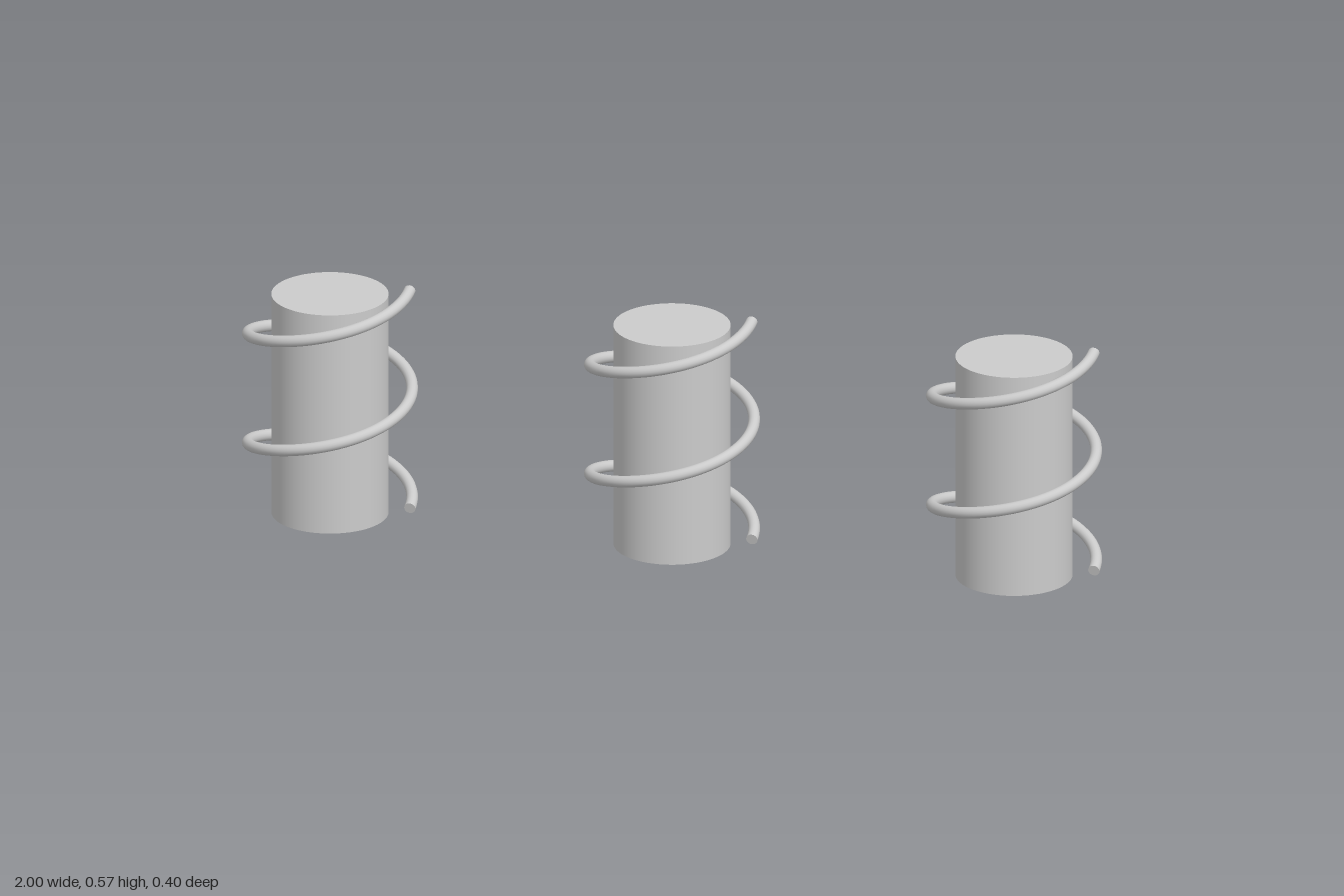
import * as THREE from 'three';

const CORE_RADIUS = 0.1333, CORE_HEIGHT = 0.5333;
const COIL_RADIUS = 0.1867, WIRE_RADIUS = 0.0133;
const COIL_START = 0.0267, PITCH = 0.2667, TURNS = 2;
const SPACING = 0.8;

// Helix rising from the +x side and turning towards the back first
class Helix extends THREE.Curve {
  getPoint(t, target = new THREE.Vector3()) {
    const a = t * TURNS * Math.PI * 2;
    return target.set(
      COIL_RADIUS * Math.cos(a),
      COIL_START + PITCH * TURNS * t,
      -COIL_RADIUS * Math.sin(a)
    );
  }
}

export function createModel() {
  const model = new THREE.Group();
  const material = new THREE.MeshStandardMaterial({ color: 0xcccccc });
  const helix = new Helix();

  const coreGeometry = new THREE.CylinderGeometry(CORE_RADIUS, CORE_RADIUS, CORE_HEIGHT, 64);
  coreGeometry.translate(0, CORE_HEIGHT / 2, 0);
  const wireGeometry = new THREE.TubeGeometry(helix, 160, WIRE_RADIUS, 16, false);
  const capGeometry = new THREE.CircleGeometry(WIRE_RADIUS, 16);

  // Three identical cores, each wrapped by a coil
  for (const [name, x] of [['right', -SPACING], ['middle', 0], ['left', SPACING]]) {
    const unit = new THREE.Group();
    unit.name = `${name}Inductor`;
    unit.position.x = x;

    const core = new THREE.Mesh(coreGeometry, material);
    core.name = 'core';
    const coil = new THREE.Mesh(wireGeometry, material);
    coil.name = 'coil';
    unit.add(core, coil);

    // Flat wire ends, facing outwards along the wire
    for (const t of [0, 1]) {
      const cap = new THREE.Mesh(capGeometry, material);
      cap.name = t ? 'upperWireEnd' : 'lowerWireEnd';
      const outward = helix.getTangent(t).multiplyScalar(t ? 1 : -1);
      cap.position.copy(helix.getPoint(t));
      cap.quaternion.setFromUnitVectors(new THREE.Vector3(0, 0, 1), outward);
      unit.add(cap);
    }
    model.add(unit);
  }
  return model;
}
